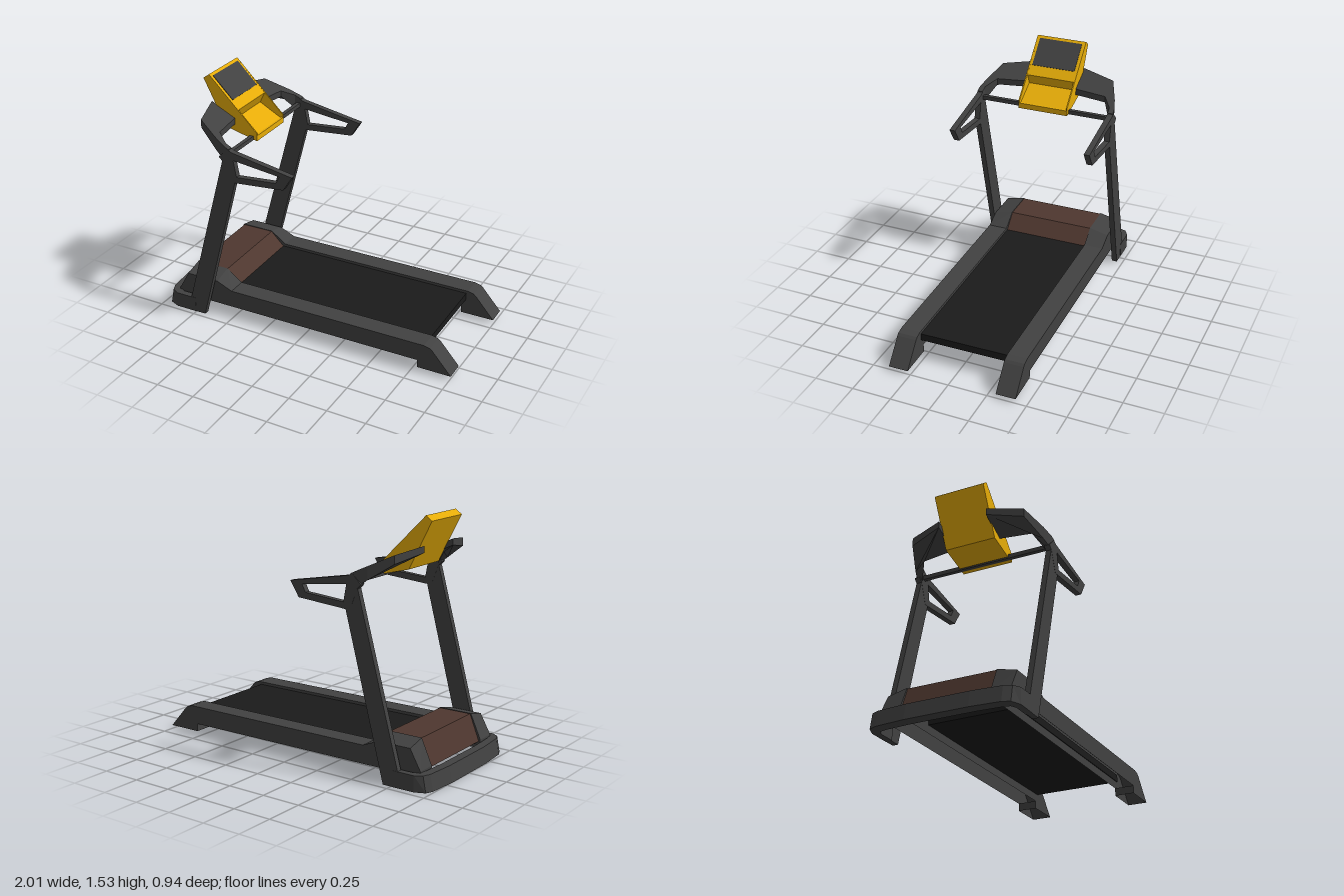
import * as THREE from 'three';

const mat = (name, color, side = THREE.FrontSide) => {
  const m = new THREE.MeshStandardMaterial({ color, side });
  m.name = name;
  return m;
};

const toShape = (pts) => new THREE.Shape(pts.map(([x, y]) => new THREE.Vector2(x, y)));

// Side profile in x/y, extruded from z0 to z1
function sideExtrude(pts, z0, z1, hole) {
  const shape = toShape(pts);
  if (hole) shape.holes.push(new THREE.Path(hole.map(([x, y]) => new THREE.Vector2(x, y))));
  const g = new THREE.ExtrudeGeometry(shape, { depth: z1 - z0, bevelEnabled: false });
  return g.translate(0, 0, z0);
}

// Plan outline in x/z, extruded over y 0..1
function planExtrude(pts) {
  const g = new THREE.ExtrudeGeometry(toShape(pts), { depth: 1, bevelEnabled: false });
  return g.rotateX(Math.PI / 2).translate(0, 1, 0);
}

const flipZ = (pts) => pts.map(([x, z]) => [x, -z]);

// Move every vertex by a rule
function warp(g, rule) {
  const p = g.attributes.position;
  const v = new THREE.Vector3();
  for (let i = 0; i < p.count; i++) {
    rule(v.fromBufferAttribute(p, i));
    p.setXYZ(i, v.x, v.y, v.z);
  }
  g.computeVertexNormals();
  return g;
}

// Drop the faces that look down, leaving a hollow cover
function openBottom(g) {
  const p = g.attributes.position;
  const n = g.attributes.normal;
  const kept = [];
  for (let i = 0; i < p.count; i += 3) {
    if (n.getY(i) > -0.95) kept.push(i, i + 1, i + 2);
  }
  g.clearGroups();
  g.setIndex(kept);
  return g;
}

export function createModel() {
  const frame = mat('charcoal', 0x414141, THREE.DoubleSide);
  const belt = mat('black rubber', 0x1b1b1b);
  const hood = mat('dark brown', 0x4e372f, THREE.DoubleSide);
  const yellow = mat('golden yellow', 0xe6ac08);

  const model = new THREE.Group();
  model.name = 'treadmill';
  const body = new THREE.Group();
  body.name = 'body';
  body.rotation.y = 0.013;
  body.position.z = -0.007;
  model.add(body);
  const add = (name, g, m) => {
    const mesh = new THREE.Mesh(g, m);
    mesh.name = name;
    body.add(mesh);
    return mesh;
  };

  // Floor base: a U bar with a gently leaning front
  const outer = [[-0.76, 0.464], [-0.9, 0.464], [-0.955, 0.437], [-0.975, 0.39], [-0.99, 0.2]];
  const inner = [[-0.925, 0.2], [-0.915, 0.36], [-0.905, 0.405], [-0.87, 0.422], [-0.76, 0.422]];
  const base = planExtrude([...outer, ...flipZ(outer).reverse(), ...flipZ(inner).reverse(), ...inner]);
  warp(base, (v) => {
    v.y *= 0.1;
    if (v.x < -0.94) v.x += 0.2 * v.y - 0.01;
  });
  add('base', base, frame);

  // Running deck and hollow motor hood
  add('belt', new THREE.BoxGeometry(1.41, 0.046, 0.58).translate(0.105, 0.149, 0), belt);
  add('motorHood', openBottom(sideExtrude(
    [[-0.9, 0.098], [-0.53, 0.172], [-0.62, 0.262], [-0.835, 0.262]], -0.284, 0.284)), hood);

  // Side parts, mirrored
  const railProfile = [[-0.91, 0.075], [0.78, 0.075], [0.78, 0.025], [1, 0.025], [0.875, 0.168],
    [0.86, 0.18], [0.82, 0.19], [-0.515, 0.19], [-0.62, 0.265], [-0.84, 0.265], [-0.91, 0.11]];
  const uprightProfile = [[-0.82, 0], [-0.69, 0], [-0.42, 1.02], [-0.44, 1.14], [-0.508, 1.13], [-0.79, 0.1]];
  const handleProfile = [[-0.455, 1.0], [-0.09, 1.03], [-0.03, 1.125], [-0.44, 1.2], [-0.47, 1.215],
    [-0.53, 1.155], [-0.505, 1.13]];
  const handleHole = [[-0.43, 1.15], [-0.115, 1.112], [-0.14, 1.065], [-0.41, 1.043]];
  const bridgePlan = [[-0.46, 0.462], [-0.49, 0.461], [-0.56, 0.44], [-0.7, 0.38], [-0.76, 0.16],
    [-0.595, 0.16], [-0.575, 0.37], [-0.5, 0.425], [-0.46, 0.427]];
  for (const [side, s] of [['left', 1], ['right', -1]]) {
    const span = (a, b) => (s > 0 ? [a, b] : [-b, -a]);
    const rail = sideExtrude(railProfile, ...span(0.285, 0.41));
    // Hump slopes down towards the outside
    warp(rail, (v) => {
      if (v.y > 0.2 && Math.abs(v.z) > 0.35) v.y -= 0.03;
    });
    add(side + 'Rail', openBottom(rail), frame);
    add(side + 'Upright', sideExtrude(uprightProfile, ...span(0.427, 0.462)), frame);
    add(side + 'Handle', sideExtrude(handleProfile, ...span(0.426, 0.463), handleHole), frame);

    // Inclined bridge from handle to console, thin along its inner edge
    const bridge = planExtrude(s > 0 ? bridgePlan : flipZ(bridgePlan));
    warp(bridge, (v) => {
      const top = 1.21 - 0.48 * (v.x + 0.45);
      const thick = 0.04 + (Math.abs(v.z) > 0.375 ? 0.2 * (v.x + 0.76) : 0);
      v.y = top - (1 - v.y) * thick;
    });
    add(side + 'Bridge', bridge, frame);

    // Thin console cheek
    add(side + 'ConsoleCheek', sideExtrude(
      [[-0.81, 1.505], [-0.66, 1.212], [-0.44, 1.155], [-0.44, 1.208], [-0.77, 1.535]],
      ...span(0.158, 0.166)), yellow);
  }
  add('crossRod', new THREE.BoxGeometry(0.026, 0.026, 0.86).translate(-0.478, 1.171, 0), frame);

  // Console with an undercut step and tray
  add('console', sideExtrude(
    [[-0.81, 1.505], [-0.66, 1.212], [-0.44, 1.155], [-0.44, 1.19], [-0.455, 1.19], [-0.455, 1.184],
      [-0.605, 1.265], [-0.57, 1.335], [-0.77, 1.535]], -0.158, 0.158), yellow);
  const screen = add('screen', new THREE.BoxGeometry(0.192, 0.004, 0.288), frame);
  screen.rotation.z = -Math.PI / 4;
  screen.position.set(-0.687, 1.454, 0);

  return model;
}
